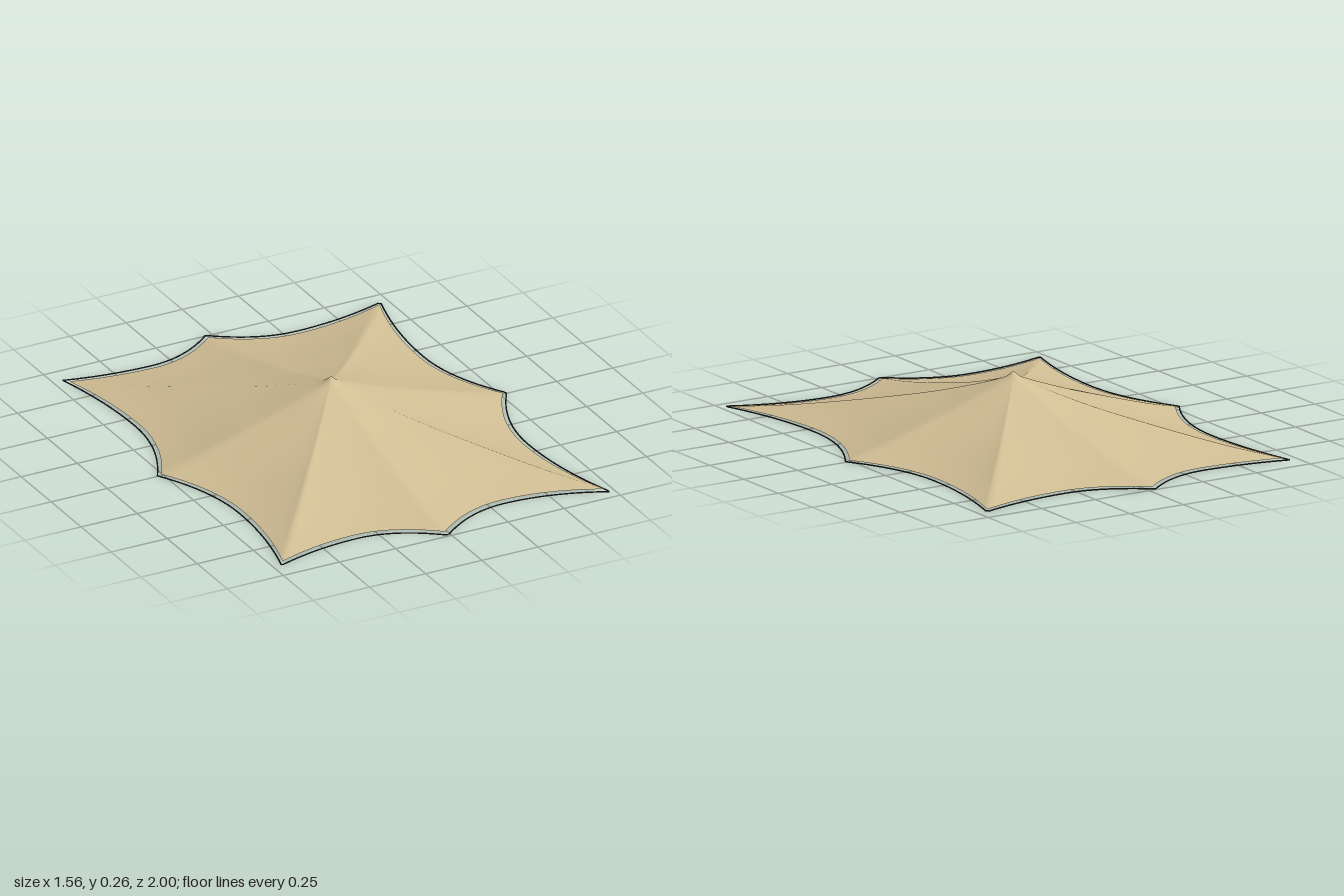
import * as THREE from 'three';

// Eight tips [x, z], and between each pair the deepest point of the scallop
const TIPS = [[-0.695, -0.89], [-0.03, -0.975], [0.70, -0.915], [0.76, 0],
  [0.715, 0.935], [-0.015, 0.97], [-0.70, 0.90], [-0.76, 0]];
const DIPS = [[-0.34, -0.84], [0.30, -0.84], [0.62, -0.43], [0.62, 0.44],
  [0.31, 0.83], [-0.34, 0.83], [-0.63, 0.44], [-0.63, -0.43]];
const ROPE_TIPS = [[-0.71, -0.915], [-0.03, -1.0], [0.715, -0.935], [0.777, 0],
  [0.728, 0.96], [-0.015, 0.997], [-0.717, 0.923], [-0.777, 0]];
const ROPE_DIPS = DIPS.map(([x, z]) => Math.abs(z) > 0.6
  ? [x, z + 0.025 * Math.sign(z)] : [x + 0.018 * Math.sign(x), z]);

// Scalloped outline: two parabola halves per bay, level at the dip
function outline(tips, dips, steps = 10) {
  const pts = [];
  tips.forEach((a, i) => {
    const m = dips[i], b = tips[(i + 1) % tips.length];
    const axis = Math.abs(m[1]) > 0.6 ? 0 : 1; // direction the bay runs in
    const half = (end, t) => { // t = 0 at the dip, 1 at the tip
      const p = [0, 0];
      p[axis] = m[axis] + (end[axis] - m[axis]) * t;
      p[1 - axis] = m[1 - axis] + (end[1 - axis] - m[1 - axis]) * t * t;
      return new THREE.Vector2(p[0], p[1]);
    };
    for (let k = 0; k < steps; k++) pts.push(half(a, 1 - k / steps));
    for (let k = 0; k < steps; k++) pts.push(half(b, k / steps));
  });
  return pts;
}

// Canopy: rings from the peak out to the scalloped hem
function canopyGeometry() {
  const rim = outline(TIPS, DIPS);
  const n = rim.length, rings = 28, peak = 0.26, hem = 0.007;
  const profile = new THREE.SplineCurve([[0, 1], [0.04, 0.90], [0.1, 0.82], [0.2, 0.705],
    [0.35, 0.545], [0.5, 0.405], [0.7, 0.225], [0.85, 0.10], [1, 0]]
    .map(([s, h]) => new THREE.Vector2(s, h)));
  const pos = [-0.005, peak, 0], index = [];
  for (let j = 1; j <= rings; j++) {
    const p = profile.getPoint(j / rings);
    const s = Math.min(p.x, 1);
    for (const q of rim) {
      // contours are round at the peak and grow into the scalloped shape
      const r = s * THREE.MathUtils.lerp(0.8 / q.length(), 1, Math.pow(s, 0.7));
      pos.push(q.x * r - 0.005 * (1 - s), hem + (peak - hem) * p.y, q.y * r);
    }
  }
  const at = (j, i) => 1 + (j - 1) * n + (i % n);
  for (let i = 0; i < n; i++) {
    index.push(0, at(1, i + 1), at(1, i));
    for (let j = 1; j < rings; j++) {
      index.push(at(j, i), at(j, i + 1), at(j + 1, i));
      index.push(at(j, i + 1), at(j + 1, i + 1), at(j + 1, i));
    }
  }
  const g = new THREE.BufferGeometry();
  g.setAttribute('position', new THREE.Float32BufferAttribute(pos, 3));
  g.setIndex(index);
  g.computeVertexNormals();
  return g;
}

// Thin rope following the hem at a small distance
function ropeGeometry() {
  const path = new THREE.CurvePath();
  const pts = outline(ROPE_TIPS, ROPE_DIPS).map((p) => new THREE.Vector3(p.x, 0.004, p.y));
  pts.forEach((p, i) => path.add(new THREE.LineCurve3(p, pts[(i + 1) % pts.length])));
  return new THREE.TubeGeometry(path, 480, 0.003, 6, true);
}

export function createModel() {
  const group = new THREE.Group();
  group.name = 'shadeCanopy';

  const canopy = new THREE.Mesh(canopyGeometry(),
    new THREE.MeshStandardMaterial({ color: 0xd2bf95, side: THREE.DoubleSide }));
  canopy.name = 'canopy';

  const rope = new THREE.Mesh(ropeGeometry(), new THREE.MeshStandardMaterial({ color: 0x333333 }));
  rope.name = 'hemRope';

  group.add(canopy, rope);
  return group;
}
